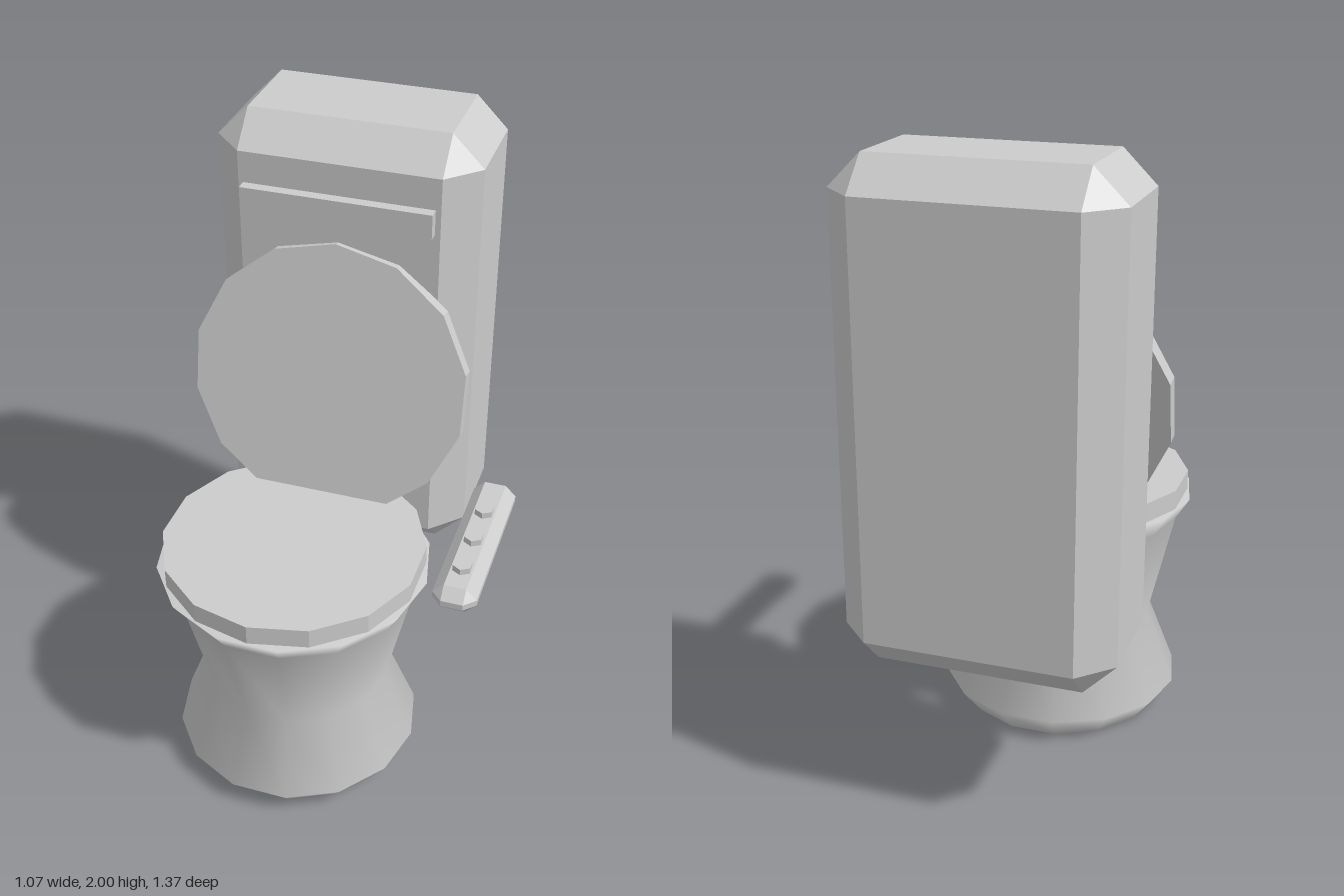
import * as THREE from 'three';
import { ConvexGeometry } from 'three/addons/geometries/ConvexGeometry.js';

const SIDES = 14;
const CENTER_X = -0.1;
const BOWL_Z = 0.26;

// Box with every edge and corner cut off, given by its limits
function chamferedBox([x0, x1], [y0, y1], [z0, z1], cut) {
  const half = [(x1 - x0) / 2, (y1 - y0) / 2, (z1 - z0) / 2];
  const points = [];
  for (const sx of [-1, 1]) for (const sy of [-1, 1]) for (const sz of [-1, 1]) {
    for (let axis = 0; axis < 3; axis++) {
      const [a, b, c] = half.map((h, i) => (i === axis ? h : h - cut));
      points.push(new THREE.Vector3(sx * a, sy * b, sz * c));
    }
  }
  return new ConvexGeometry(points).translate((x0 + x1) / 2, (y0 + y1) / 2, (z0 + z1) / 2);
}

// Prism with faceted sides
function facetedDisc(radius, height, sides) {
  const geometry = new THREE.CylinderGeometry(radius, radius, height, sides).toNonIndexed();
  geometry.computeVertexNormals();
  return geometry;
}

export function createModel() {
  const group = new THREE.Group();
  const ceramic = new THREE.MeshStandardMaterial({ color: 0xcccccc });
  ceramic.name = 'light grey ceramic';

  const add = (name, geometry, x = 0, y = 0, z = 0) => {
    const mesh = new THREE.Mesh(geometry, ceramic);
    mesh.name = name;
    mesh.position.set(x, y, z);
    group.add(mesh);
    return mesh;
  };

  // Waisted bowl with smooth sides, closed under the seat
  const profile = [
    [0.333, 0], [0.4, 0.085], [0.303, 0.335], [0.388, 0.7], [0.432, 0.77], [0, 0.77],
  ].map(([r, y]) => new THREE.Vector2(r, y));
  add('bowl', new THREE.LatheGeometry(profile, SIDES, Math.PI / 2), CENTER_X, 0, BOWL_Z);
  add('bowlBase', new THREE.CircleGeometry(0.333, SIDES).rotateX(Math.PI / 2), CENTER_X, 0, BOWL_Z);

  // Closed seat on the rim
  add('seat', facetedDisc(0.415, 0.065, SIDES), CENTER_X, 0.803, BOWL_Z);

  // Raised lid leaning back against the tank
  const lid = add('lid', facetedDisc(0.45, 0.05, SIDES), CENTER_X, 1.205, -0.1);
  lid.rotation.x = THREE.MathUtils.degToRad(78);

  // Tall tank with a raised strip on its front
  add('tank', chamferedBox([-0.515, 0.317], [0.5, 2], [-0.685, -0.19], 0.1));
  add('tankStrip', new THREE.BoxGeometry(0.6, 0.08, 0.06), CENTER_X, 1.76, -0.185);

  // Control bar beside the bowl with three hexagonal buttons
  add('controlBar', chamferedBox([0.402, 0.534], [0.895, 0.98], [-0.057, 0.51], 0.033));
  for (const z of [0.125, 0.26, 0.393]) {
    add('button', facetedDisc(0.03, 0.04, 6), 0.468, 0.98, z);
  }

  return group;
}
